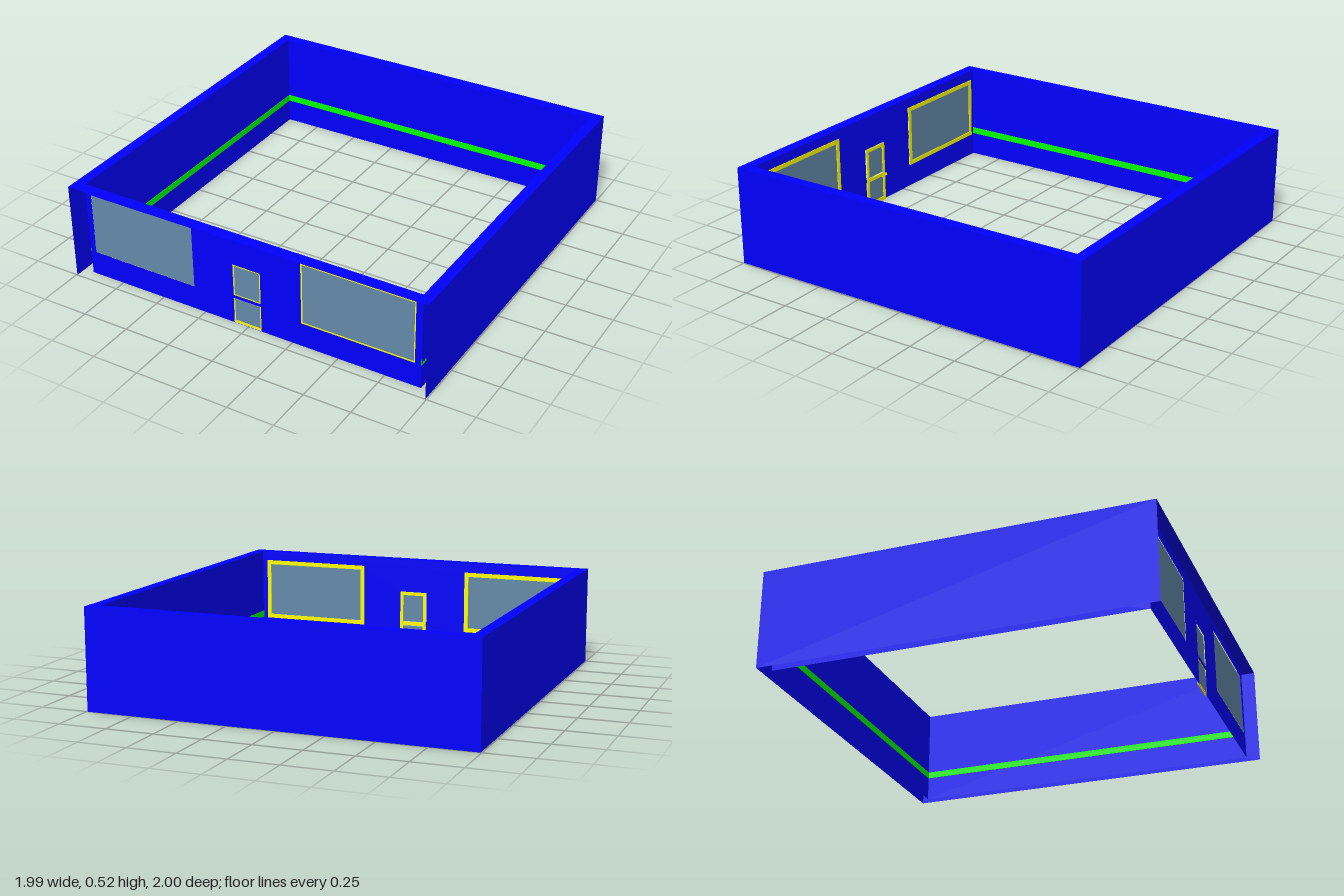
import * as THREE from 'three';

const mat = (color) => new THREE.MeshStandardMaterial({ color, side: THREE.DoubleSide });

// Adds a rectangle path (as outline or hole) from corner to corner.
function rect(target, x0, y0, x1, y1) {
  target.moveTo(x0, y0);
  target.lineTo(x1, y0);
  target.lineTo(x1, y1);
  target.lineTo(x0, y1);
  target.closePath();
  return target;
}

// A flat rectangular sheet with rectangular holes, each given as [x0, y0, x1, y1].
function sheet(outline, holes = []) {
  const shape = rect(new THREE.Shape(), ...outline);
  holes.forEach((h) => shape.holes.push(rect(new THREE.Path(), ...h)));
  return shape;
}

export function createModel() {
  const model = new THREE.Group();
  const blue = mat(0x0000ff), yellow = mat(0xffff00), green = mat(0x00ff00), glass = mat(0x648aaa);

  const X = 0.995, Z = 1, H = 0.52;             // outer shell
  const IX = 0.94, BACK = -0.945, FRONT = 0.938; // inner faces

  function add(name, geometry, material, parent = model) {
    const mesh = new THREE.Mesh(geometry, material);
    mesh.name = name;
    parent.add(mesh);
    return mesh;
  }

  // Hollow walls: thin outer and inner skins under a flat rim, open at the front and below
  for (const s of [-1, 1]) {
    const side = s < 0 ? 'right' : 'left';
    const outer = add(side + 'OuterWall', new THREE.PlaneGeometry(2 * Z, H), blue);
    outer.position.set(s * X, H / 2, 0);
    outer.rotation.y = s * Math.PI / 2;
    const inner = add(side + 'InnerWall', new THREE.PlaneGeometry(FRONT - BACK, H), blue);
    inner.position.set(s * IX, H / 2, (FRONT + BACK) / 2);
    inner.rotation.y = -s * Math.PI / 2;
    // Coloured strip along the inner face
    const strip = add(side + 'WallStrip', new THREE.BoxGeometry(0.003, 0.036, FRONT - BACK), green);
    strip.position.set(s * (IX - 0.0015), 0.146, (FRONT + BACK) / 2);
  }
  const backOuter = add('backOuterWall', new THREE.PlaneGeometry(2 * X, H), blue);
  backOuter.position.set(0, H / 2, -Z);
  backOuter.rotation.y = Math.PI;
  add('backInnerWall', new THREE.PlaneGeometry(2 * IX, H), blue).position.set(0, H / 2, BACK);
  add('backWallStrip', new THREE.BoxGeometry(2 * IX, 0.036, 0.003), green)
    .position.set(0, 0.146, BACK + 0.0015);

  const rim = add('topRim', new THREE.ShapeGeometry(
    sheet([-X, -Z, X, Z], [[-IX, -FRONT, IX, -BACK]])), blue);
  rim.rotation.x = -Math.PI / 2;
  rim.position.y = H;

  // Front wall with two window openings and a doorway
  const windows = [
    { name: 'rightWindow', hole: [-0.91, 0.13, -0.31, 0.465], gap: 0 },
    { name: 'leftWindow', hole: [0.3, 0.13, 0.905, 0.468], gap: 0.007 },
  ];
  const door = [-0.08, 0, 0.075, 0.335];
  add('frontWall', new THREE.ShapeGeometry(
    sheet([-IX, 0, IX, H], [...windows.map((w) => w.hole), [-0.08, 0.001, 0.075, 0.335]])), blue)
    .position.z = FRONT;

  // Panes sit in front of frames that face the room
  const inset = ([x0, y0, x1, y1], d) => [x0 + d, y0 + d, x1 - d, y1 - d];
  const frame = (outline, holes) =>
    new THREE.ExtrudeGeometry(sheet(outline, holes), { depth: 0.004, bevelEnabled: false });

  for (const { name, hole, gap } of windows) {
    const group = new THREE.Group();
    group.name = name;
    model.add(group);
    add(name + 'Pane', new THREE.ShapeGeometry(sheet(inset(hole, gap))), glass, group)
      .position.z = FRONT - 0.002;
    add(name + 'Frame', frame(inset(hole, -0.003), [inset(hole, 0.02)]), yellow, group)
      .position.z = FRONT - 0.009;
  }

  // Door with two panes, a cross bar, a lintel and a small handle
  const doorGroup = new THREE.Group();
  doorGroup.name = 'door';
  model.add(doorGroup);
  const [dx0, dy0, dx1, dy1] = door;
  add('doorFrame', frame(door, [
    [dx0 + 0.018, 0.02, dx1 - 0.018, 0.143],
    [dx0 + 0.018, 0.163, dx1 - 0.018, dy1 - 0.018],
  ]), yellow, doorGroup).position.z = FRONT - 0.009;
  for (const [y0, y1] of [[dy0 + 0.016, 0.139], [0.165, dy1 - 0.007]]) {
    add('doorPane', new THREE.ShapeGeometry(sheet([dx0 + 0.007, y0, dx1 - 0.007, y1])), glass, doorGroup)
      .position.z = FRONT - 0.002;
  }
  add('doorCrossBar', new THREE.BoxGeometry(dx1 - dx0, 0.015, 0.003), blue, doorGroup)
    .position.set((dx0 + dx1) / 2, 0.152, FRONT);
  add('doorLintel', new THREE.BoxGeometry(0.175, 0.005, 0.004), blue, doorGroup)
    .position.set(-0.002, 0.342, FRONT + 0.001);
  add('doorHandle', new THREE.BoxGeometry(0.006, 0.012, 0.016), yellow, doorGroup)
    .position.set(dx0 + 0.004, 0.152, FRONT - 0.016);

  return model;
}
